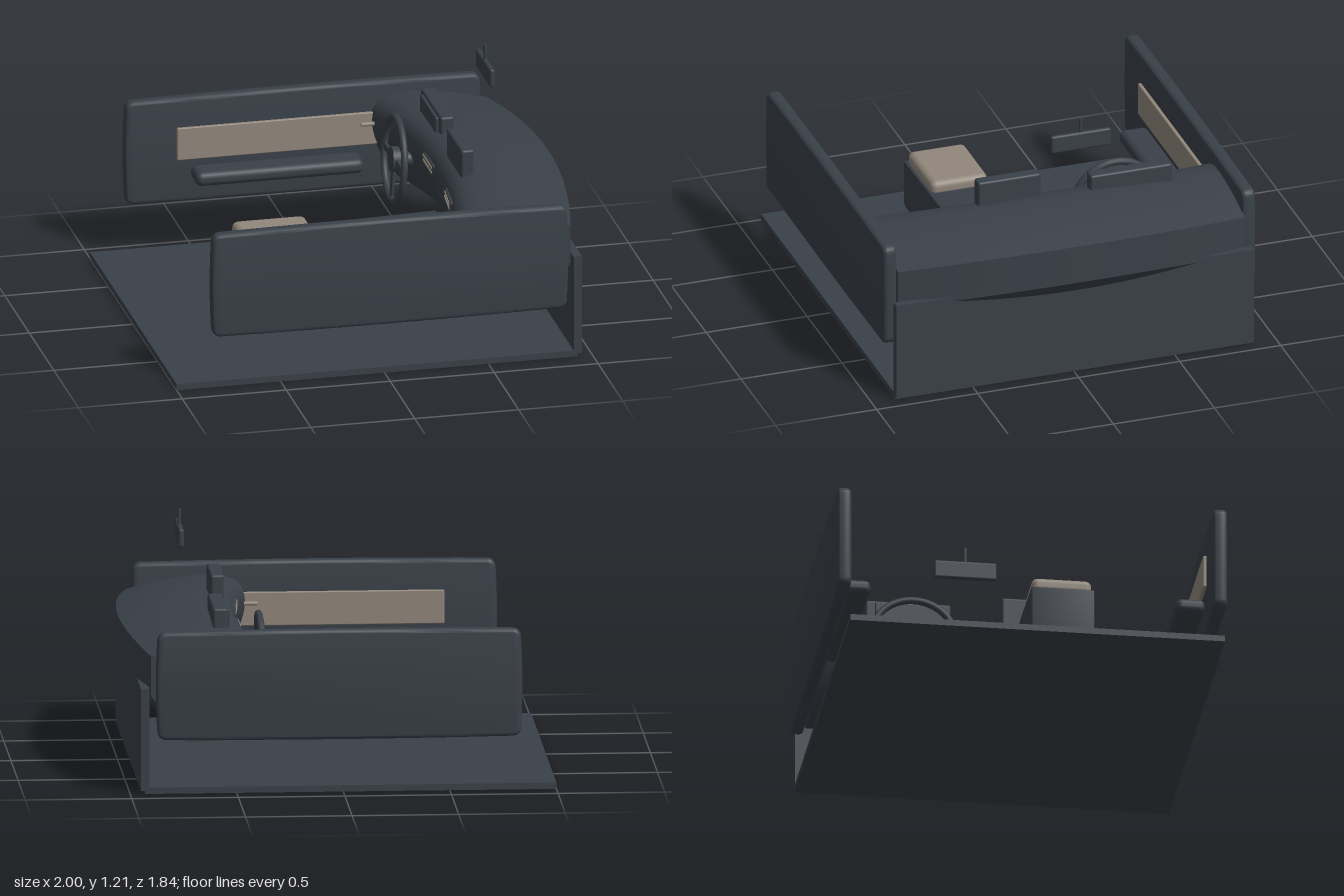
import * as THREE from 'three';
import { toCreasedNormals } from 'three/addons/utils/BufferGeometryUtils.js';
import { RoundedBoxGeometry } from 'three/addons/geometries/RoundedBoxGeometry.js';

export function createModel() {
  const group = new THREE.Group();
  const charcoal = new THREE.MeshStandardMaterial({ color: 0x394048 });
  const beige = new THREE.MeshStandardMaterial({ color: 0x91877b });
  charcoal.name = 'charcoal';
  beige.name = 'beige';

  const add = (name, geometry, material = charcoal, parent = group) => {
    const mesh = new THREE.Mesh(geometry, material);
    mesh.name = name;
    parent.add(mesh);
    return mesh;
  };
  // box given by its extents; r rounds its edges
  const box = (name, x, y, z, r = 0, material = charcoal, parent = group) => {
    const size = [x, y, z].map(([a, b]) => b - a);
    const geo = r ? new RoundedBoxGeometry(...size, 3, r) : new THREE.BoxGeometry(...size);
    const mesh = add(name, geo, material, parent);
    mesh.position.set(...[x, y, z].map(([a, b]) => (a + b) / 2));
    return mesh;
  };

  // floor and firewall
  box('floor', [-1, 0.93], [0, 0.03], [-0.885, 0.885]);
  box('firewall', [0.91, 0.95], [0.015, 0.5], [-0.885, 0.885]);

  // dashboard: profile swept across the car, bowed forward and crowned
  const dashShape = new THREE.Shape();
  dashShape.moveTo(1.0, 0.5);
  dashShape.lineTo(1.0, 0.69);
  dashShape.splineThru([
    [0.85, 0.728], [0.7, 0.75], [0.58, 0.752], [0.49, 0.725], [0.445, 0.66],
    [0.45, 0.56], [0.5, 0.44], [0.58, 0.33], [0.66, 0.285],
  ].map(([x, y]) => new THREE.Vector2(x, y)));
  dashShape.lineTo(0.83, 0.28);
  const dashGeo = new THREE.ExtrudeGeometry(dashShape, {
    depth: 1.72, steps: 28, bevelEnabled: false, curveSegments: 30,
  });
  dashGeo.translate(0, 0, -0.86);
  const dp = dashGeo.attributes.position;
  for (let i = 0; i < dp.count; i++) {
    const zz = dp.getZ(i) ** 2;
    dp.setX(i, dp.getX(i) - 0.135 * zz);
    dp.setY(i, dp.getY(i) - 0.054 * zz);
  }
  add('dashboard', toCreasedNormals(dashGeo, 0.6));

  // displays on the dashboard
  box('centreScreen', [0.497, 0.56], [0.69, 0.865], [0.035, 0.345], 0.012);
  box('instrumentHood', [0.525, 0.592], [0.7, 0.825], [-0.605, -0.2], 0.012);
  box('instrumentScreen', [0.51, 0.535], [0.715, 0.81], [-0.56, -0.24], 0.006);

  // air vents
  for (const [z, turn] of [[-0.09, 0], [0.4, -0.1]]) {
    const vent = new THREE.Group();
    vent.name = 'airVent';
    box('ventFrame', [-0.012, 0.02], [-0.026, 0.026], [-0.1, 0.1], 0.008, charcoal, vent);
    for (const y of [-0.012, 0.012]) {
      box('ventSlat', [-0.016, -0.01], [y - 0.006, y + 0.006], [-0.085, 0.085], 0, beige, vent);
    }
    vent.position.set(0.45 - 0.135 * z * z, 0.645, z);
    vent.rotation.y = turn;
    group.add(vent);
  }

  // steering wheel, slightly leaned forward
  const wheel = new THREE.Group();
  wheel.name = 'steeringWheel';
  const rim = add('wheelRim', new THREE.TorusGeometry(0.2, 0.017, 12, 48), charcoal, wheel);
  rim.rotation.y = Math.PI / 2;
  const hub = add('wheelHub', new THREE.CylinderGeometry(0.06, 0.06, 0.035, 32), charcoal, wheel);
  hub.rotation.z = Math.PI / 2;
  for (const angle of [Math.PI / 2, -Math.PI / 2, Math.PI]) {
    const spoke = new THREE.Group();
    spoke.name = 'wheelSpoke';
    box('spokeBar', [-0.008, 0.008], [0.04, 0.195], [-0.018, 0.018], 0.005, charcoal, spoke);
    spoke.rotation.x = angle;
    wheel.add(spoke);
  }
  const column = add('steeringColumn', new THREE.CylinderGeometry(0.035, 0.035, 0.2, 24), charcoal, wheel);
  column.rotation.z = Math.PI / 2;
  column.position.x = 0.1;
  wheel.position.set(0.35, 0.56, -0.4);
  wheel.rotation.z = -0.07;
  group.add(wheel);

  // centre console with armrest pad and cup lid
  const consoleShape = new THREE.Shape();
  consoleShape.moveTo(-0.53, 0.205);
  consoleShape.lineTo(0.42, 0.205);
  consoleShape.quadraticCurveTo(0.44, 0.205, 0.44, 0.225);
  consoleShape.lineTo(0.44, 0.45);
  consoleShape.lineTo(-0.552, 0.425);
  consoleShape.lineTo(-0.552, 0.225);
  consoleShape.quadraticCurveTo(-0.552, 0.205, -0.53, 0.205);
  const consoleGeo = new THREE.ExtrudeGeometry(consoleShape, {
    depth: 0.284, bevelThickness: 0.008, bevelSize: 0.007, bevelSegments: 3,
  });
  add('centreConsole', toCreasedNormals(consoleGeo, 0.6)).position.z = 0.038;
  box('armrestPad', [-0.54, -0.185], [0.42, 0.495], [0.037, 0.32], 0.03, beige);
  const lid = add('cupLid', new THREE.CylinderGeometry(0.058, 0.058, 0.012, 40));
  lid.position.set(0.285, 0.451, 0.18);
  lid.rotation.z = 0.025;

  // rear-view mirror
  box('mirror', [0.705, 0.731], [1.05, 1.14], [-0.255, 0.042], 0.011);
  add('mirrorStem', new THREE.CylinderGeometry(0.008, 0.008, 0.09, 12)).position.set(0.718, 1.167, -0.107);

  // doors: bowed panels with trim, armrest and handle
  const doorShape = new THREE.Shape();
  const [hx, hy, c] = [0.835, 0.238, 0.025];
  doorShape.moveTo(-hx + c, -hy);
  doorShape.quadraticCurveTo(0, -hy - 0.012, hx - c, -hy);
  doorShape.quadraticCurveTo(hx, -hy, hx, -hy + c);
  doorShape.quadraticCurveTo(hx + 0.012, 0, hx, hy - c);
  doorShape.quadraticCurveTo(hx, hy, hx - c, hy);
  doorShape.quadraticCurveTo(0, hy + 0.012, -hx + c, hy);
  doorShape.quadraticCurveTo(-hx, hy, -hx, hy - c);
  doorShape.quadraticCurveTo(-hx - 0.012, 0, -hx, -hy + c);
  doorShape.quadraticCurveTo(-hx, -hy, -hx + c, -hy);
  const doorGeo = toCreasedNormals(new THREE.ExtrudeGeometry(doorShape, {
    depth: 0.025, bevelThickness: 0.02, bevelSize: 0.018, bevelSegments: 4,
  }), 0.7);

  for (const side of [1, -1]) {
    const door = new THREE.Group();
    door.name = side > 0 ? 'frontDoor' : 'backDoor';
    const span = (a, b) => (side > 0 ? [a, b] : [-b, -a]);
    add('doorPanel', doorGeo, charcoal, door).position.set(0.02, 0.515, side * 0.8875 - 0.0125);
    box('doorTrim', [-0.59, 0.375], [0.47, 0.63], span(0.838, 0.857), 0.005, beige, door);
    box('doorArmrest', [-0.525, 0.283], [0.37, 0.44], span(0.72, 0.86), 0.03, charcoal, door);
    const handle = add('doorHandle', new THREE.CapsuleGeometry(0.01, 0.065, 6, 12), beige, door);
    handle.rotation.z = Math.PI / 2;
    handle.position.set(0.328, 0.58, side * 0.82);
    group.add(door);
  }

  return group;
}
